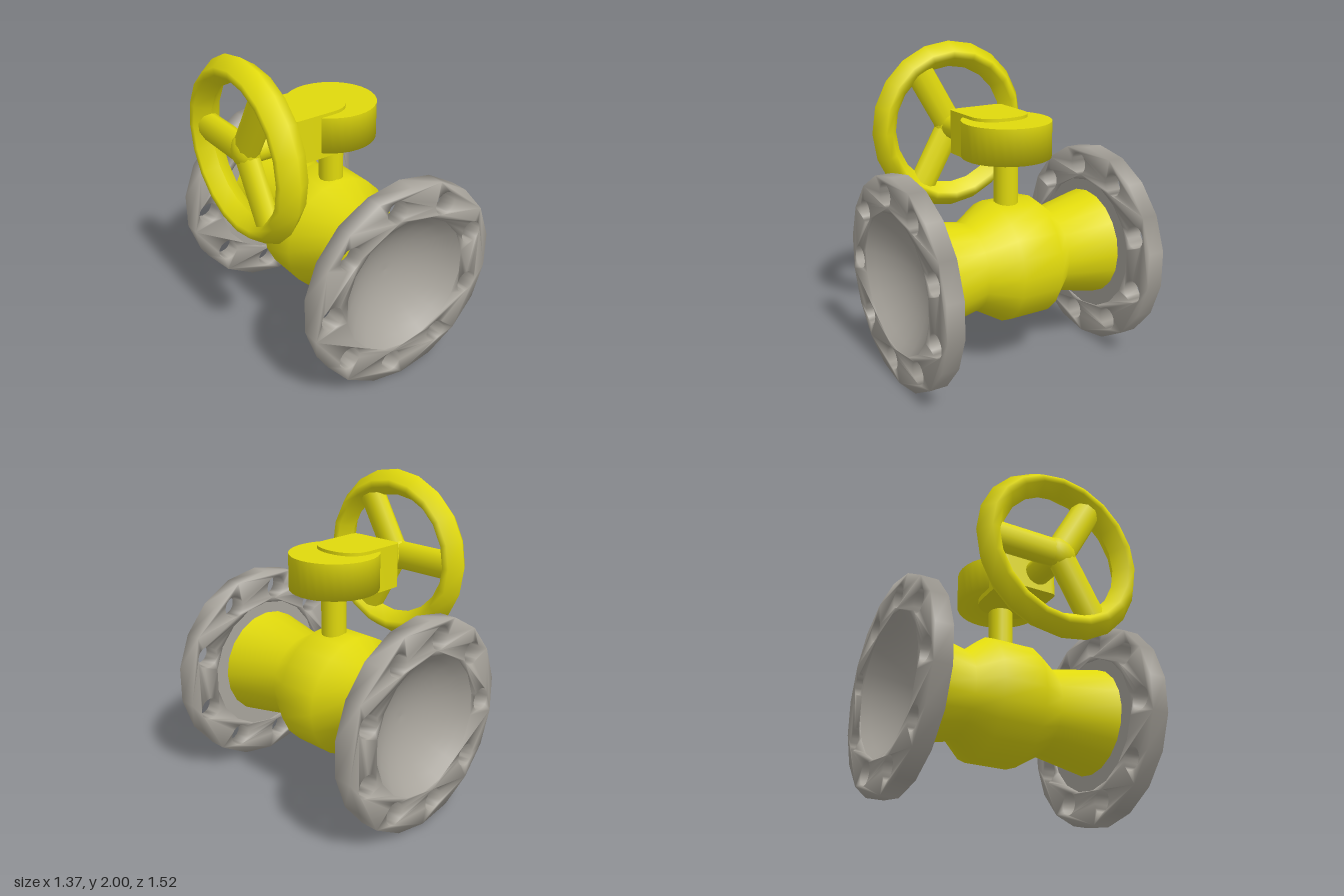
import * as THREE from 'three';
import { mergeVertices, toCreasedNormals } from 'three/addons/utils/BufferGeometryUtils.js';

const CX = 0.03; // pipe axis
const FLANGE_Y = 0.6625;
const STEM_X = 0.04;
const WHEEL = new THREE.Vector3(-0.597, 1.44, 0.04);

const lathe = (pts, sides) =>
  new THREE.LatheGeometry(pts.map(([r, h]) => new THREE.Vector2(r, h)), sides);

// Regular polygon outline with a vertex at the top
function polygon(PathType, r, sides, cx = 0, cy = 0) {
  const pts = [];
  for (let i = 0; i < sides; i++) {
    const a = Math.PI / 2 + (i / sides) * Math.PI * 2;
    pts.push(new THREE.Vector2(cx + r * Math.cos(a), cy + r * Math.sin(a)));
  }
  return new PathType(pts);
}

export function createModel() {
  const root = new THREE.Group();
  const yellow = new THREE.MeshStandardMaterial({ color: 0xe0d90c });
  yellow.name = 'yellow paint';
  const gray = new THREE.MeshStandardMaterial({ color: 0xa8a49c });
  gray.name = 'gray metal';

  const add = (name, geo, mat, x = 0, y = 0, z = 0, parent = root) => {
    const m = new THREE.Mesh(geo, mat);
    m.name = name;
    m.position.set(x, y, z);
    parent.add(m);
    return m;
  };

  // Pipe body with a bulged middle
  const body = lathe([[0.355, -0.66], [0.28, -0.32], [0.39, -0.19],
    [0.39, 0.09], [0.28, 0.27], [0.355, 0.66]], 20);
  body.rotateX(Math.PI / 2);
  add('body', body, yellow, CX, 0.677, 0);

  // Flange plate with nine bolt holes, softly shaded
  const shape = polygon(THREE.Shape, 0.6625, 18);
  shape.holes.push(polygon(THREE.Path, 0.4415, 18));
  for (let i = 0; i < 9; i++) {
    const a = Math.PI + (i * Math.PI * 2) / 9;
    shape.holes.push(polygon(THREE.Path, 0.074, 16, 0.54 * Math.cos(a), 0.54 * Math.sin(a)));
  }
  let plate = new THREE.ExtrudeGeometry(shape, { depth: 0.11, bevelEnabled: false });
  plate.translate(0, 0, -0.055);
  plate.deleteAttribute('normal');
  plate.deleteAttribute('uv');
  plate = mergeVertices(plate, 1e-4);
  plate.computeVertexNormals();

  // Dished end, listed from the rim to the centre
  const rim = 0.4415, depth = 0.2;
  const R = (rim * rim + depth * depth) / (2 * depth);
  const dish = [];
  for (let i = 0; i <= 8; i++) {
    const a = Math.asin(rim / R) * (1 - i / 8);
    dish.push([R * Math.sin(a), R - depth - R * Math.cos(a)]);
  }
  const bowl = lathe(dish, 18);
  bowl.rotateX(Math.PI / 2);
  const collar = new THREE.RingGeometry(0.33, 0.4415, 18, 1, Math.PI / 2);
  collar.rotateY(Math.PI);

  for (const s of [1, -1]) {
    const side = s > 0 ? 'front' : 'rear';
    add(side + 'Flange', plate, gray, CX, FLANGE_Y, s * 0.707);
    const end = new THREE.Group();
    end.name = side + 'FlangeEnd';
    end.position.set(CX, FLANGE_Y, 0);
    end.rotation.y = s > 0 ? 0 : Math.PI;
    add('dish', bowl, gray, 0, 0, 0.762, end);
    add('collar', collar, gray, 0, 0, 0.652, end);
    root.add(end);
  }

  // Stem and round gear drum
  add('stem', new THREE.CylinderGeometry(0.078, 0.078, 0.4, 16), yellow, STEM_X, 1.2, -0.008);
  add('drum', lathe([[0, 1.355], [0.28, 1.355], [0.28, 1.58]], 32), yellow, STEM_X, 0, -0.013);
  const lid = new THREE.CircleGeometry(0.28, 32);
  lid.rotateX(-Math.PI / 2);
  add('drumTop', lid, yellow, STEM_X, 1.58, -0.013);

  // Gear housing, rounded more at the stem end
  const h = new THREE.Shape();
  h.moveTo(-0.31, -0.205);
  h.lineTo(-0.07, -0.205);
  h.bezierCurveTo(0.03, -0.205, 0.09, -0.14, 0.09, -0.013);
  h.bezierCurveTo(0.09, 0.11, 0.03, 0.178, -0.07, 0.178);
  h.lineTo(-0.31, 0.178);
  h.quadraticCurveTo(-0.35, 0.178, -0.35, 0.138);
  h.lineTo(-0.35, -0.165);
  h.quadraticCurveTo(-0.35, -0.205, -0.31, -0.205);
  const housing = new THREE.ExtrudeGeometry(h, { depth: 0.28, bevelEnabled: false, curveSegments: 8 });
  housing.rotateX(Math.PI / 2);
  add('gearHousing', toCreasedNormals(housing, 0.7), yellow, 0, 1.6, 0);
  add('housingFoot', new THREE.CylinderGeometry(0.08, 0.08, 0.05, 16), yellow, STEM_X, 1.345, -0.013);

  // Handwheel shaft
  const shaft = new THREE.CylinderGeometry(0.083, 0.083, 0.27, 16);
  shaft.rotateZ(Math.PI / 2);
  add('wheelShaft', shaft, yellow, -0.455, WHEEL.y, WHEEL.z);

  // Handwheel: six-sided rim, three spokes and a hub
  const wheel = new THREE.Group();
  wheel.name = 'handwheel';
  wheel.position.copy(WHEEL);
  root.add(wheel);
  const rimGeo = lathe([[0.395, 0], [0.455, -0.088], [0.5, -0.088],
    [0.56, 0], [0.5, 0.088], [0.455, 0.088], [0.395, 0]], 20);
  rimGeo.rotateZ(Math.PI / 2);
  add('wheelRim', rimGeo, yellow, 0, 0, 0, wheel);
  const spoke = new THREE.CylinderGeometry(0.095, 0.095, 0.45, 10);
  spoke.scale(0.7, 1, 1);
  spoke.translate(0, 0.225, 0);
  for (let i = 0; i < 3; i++) {
    const s = add('wheelSpoke', spoke, yellow, 0, 0, 0, wheel);
    s.rotation.x = -Math.PI / 2 + (i * Math.PI * 2) / 3;
  }
  const hub = new THREE.SphereGeometry(0.11, 16, 10);
  hub.scale(0.7, 1, 1);
  add('wheelHub', hub, yellow, 0, 0, 0, wheel);

  return root;
}
